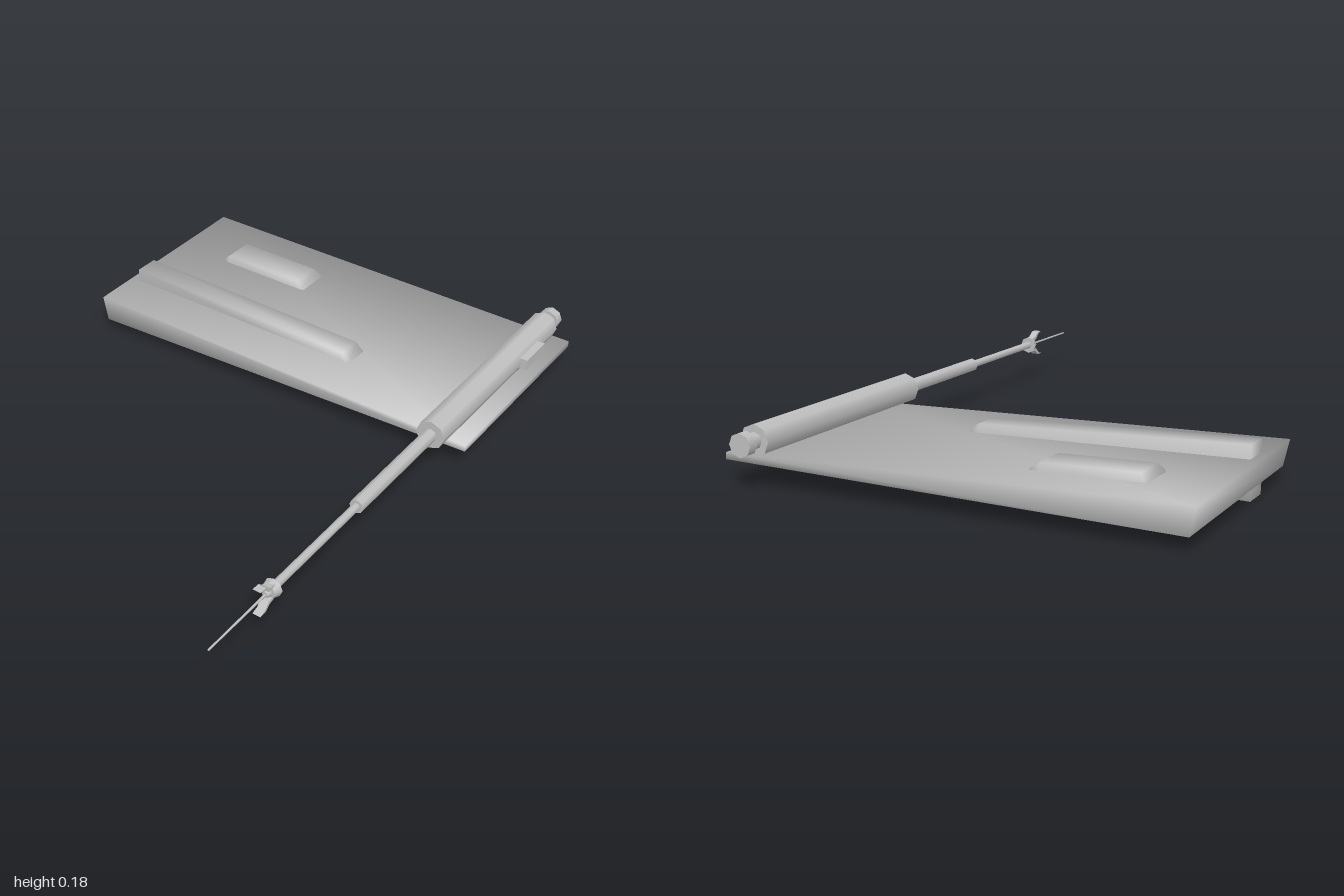
import * as THREE from 'three';

const grey = new THREE.MeshStandardMaterial({ color: 0xc0c0c0 });
grey.name = 'grey metal';

// Closed ring of points across x: bottom and top may lean in x and be inset in z
function ring(xBottom, xTop, y0, y1, z0, z1, inset = 0) {
  const xm = (xBottom + xTop) / 2, ym = (y0 + y1) / 2;
  const pts = [[xBottom, y0, z1 - inset], [xBottom, y0, z0 + inset]];
  if (inset) pts.push([xm, ym, z0]);
  pts.push([xTop, y1, z0 + inset], [xTop, y1, z1 - inset]);
  if (inset) pts.push([xm, ym, z1]);
  return pts;
}

// Skin rings that run along +x; corners share evenly weighted normals
function loft(rings) {
  const n = rings[0].length, pts = rings.flat(), index = [];
  for (let r = 0; r < rings.length - 1; r++) {
    for (let j = 0; j < n; j++) {
      const a = r * n + j, a2 = r * n + (j + 1) % n;
      index.push(a, a2, a2 + n, a, a2 + n, a + n);
    }
  }
  const last = (rings.length - 1) * n;
  for (let j = 1; j < n - 1; j++) {
    index.push(0, j + 1, j, last, last + j, last + j + 1);
  }
  const v = pts.map(p => new THREE.Vector3(...p));
  const normals = v.map(() => new THREE.Vector3());
  const tri = new THREE.Triangle(), nrm = new THREE.Vector3();
  for (let i = 0; i < index.length; i += 3) {
    tri.set(v[index[i]], v[index[i + 1]], v[index[i + 2]]);
    tri.getNormal(nrm);
    for (let k = 0; k < 3; k++) normals[index[i + k]].add(nrm);
  }
  const geo = new THREE.BufferGeometry();
  geo.setAttribute('position', new THREE.Float32BufferAttribute(pts.flat(), 3));
  geo.setAttribute('normal', new THREE.Float32BufferAttribute(
    normals.flatMap(m => m.normalize().toArray()), 3));
  geo.setIndex(index);
  return geo;
}

export function createModel() {
  const model = new THREE.Group();
  model.name = 'wing with cannon';
  const add = (name, geo, parent = model) => {
    const mesh = new THREE.Mesh(geo, grey);
    mesh.name = name;
    parent.add(mesh);
    return mesh;
  };

  // Tapered wing slab, thick at the root
  const wing = [ring(-0.71, -0.73, 0.043, 0.126, -0.95, -0.21), ring(0.73, 0.73, 0.075, 0.096, -0.95, -0.21)];
  for (const p of wing[0]) if (p[2] > -0.5) p[0] += 0.01;
  add('wing', loft(wing));

  // Long rib passing through the wing, with a sloped outer end
  add('longRib', loft([
    ring(-0.695, -0.695, 0.003, 0.166, -0.48, -0.375, 0.01),
    ring(0.17, 0.17, 0.036, 0.135, -0.48, -0.375, 0.01),
    ring(0.2, 0.2, 0.062, 0.11, -0.48, -0.375, 0.01),
  ]));

  // Short pod standing proud on both faces of the wing
  add('shortPod', loft([
    ring(-0.53, -0.53, 0.042, 0.128, -0.81, -0.67, 0.012),
    ring(-0.51, -0.51, 0.025, 0.146, -0.81, -0.67, 0.015),
    ring(-0.21, -0.21, 0.032, 0.139, -0.81, -0.67, 0.015),
    ring(-0.18, -0.18, 0.05, 0.12, -0.81, -0.67, 0.012),
  ]));

  // Cannon: octagonal stages along z
  const cannon = new THREE.Group();
  cannon.name = 'cannon';
  cannon.position.set(0.637, 0.137, 0);
  model.add(cannon);
  const stages = [
    ['rearKnob', -1.0, -0.968, 0.037, 0.037],
    ['rearNeck', -0.97, -0.92, 0.026, 0.026],
    ['cannonBody', -0.935, -0.147, 0.049, 0.049],
    ['barrelSleeve', -0.15, 0.283, 0.023, 0.023],
    ['barrel', 0.28, 0.71, 0.013, 0.013],
    ['muzzleCollar', 0.705, 0.73, 0.03, 0.022],
    ['muzzleTip', 0.725, 0.745, 0.014, 0.01],
    ['needle', 0.74, 1.0, 0.004, 0.003],
  ];
  for (const [name, z0, z1, rBack, rFront] of stages) {
    const geo = new THREE.CylinderGeometry(rFront, rBack, z1 - z0, 8);
    geo.rotateX(Math.PI / 2);
    geo.translate(0, 0, (z0 + z1) / 2);
    add(name, geo, cannon);
  }

  // Two curved prongs above and below the needle
  for (const s of [1, -1]) {
    const shape = new THREE.Shape();
    [[0.715, 0.012], [0.745, 0.018], [0.763, 0.036], [0.785, 0.043],
      [0.76, 0.043], [0.74, 0.028], [0.715, 0.022]]
      .forEach(([z, y], i) => (i ? shape.lineTo(-z, y * s) : shape.moveTo(-z, y * s)));
    const geo = new THREE.ExtrudeGeometry(shape, { depth: 0.026, bevelEnabled: false });
    geo.translate(0, 0, -0.013);
    geo.rotateY(Math.PI / 2);
    add(s > 0 ? 'upperProng' : 'lowerProng', geo, cannon);
  }

  // Small box on the outer side of the cannon body
  const sideBox = add('sideBox', new THREE.BoxGeometry(0.05, 0.037, 0.13), cannon);
  sideBox.position.set(0.043, 0.001, -0.735);

  return model;
}
